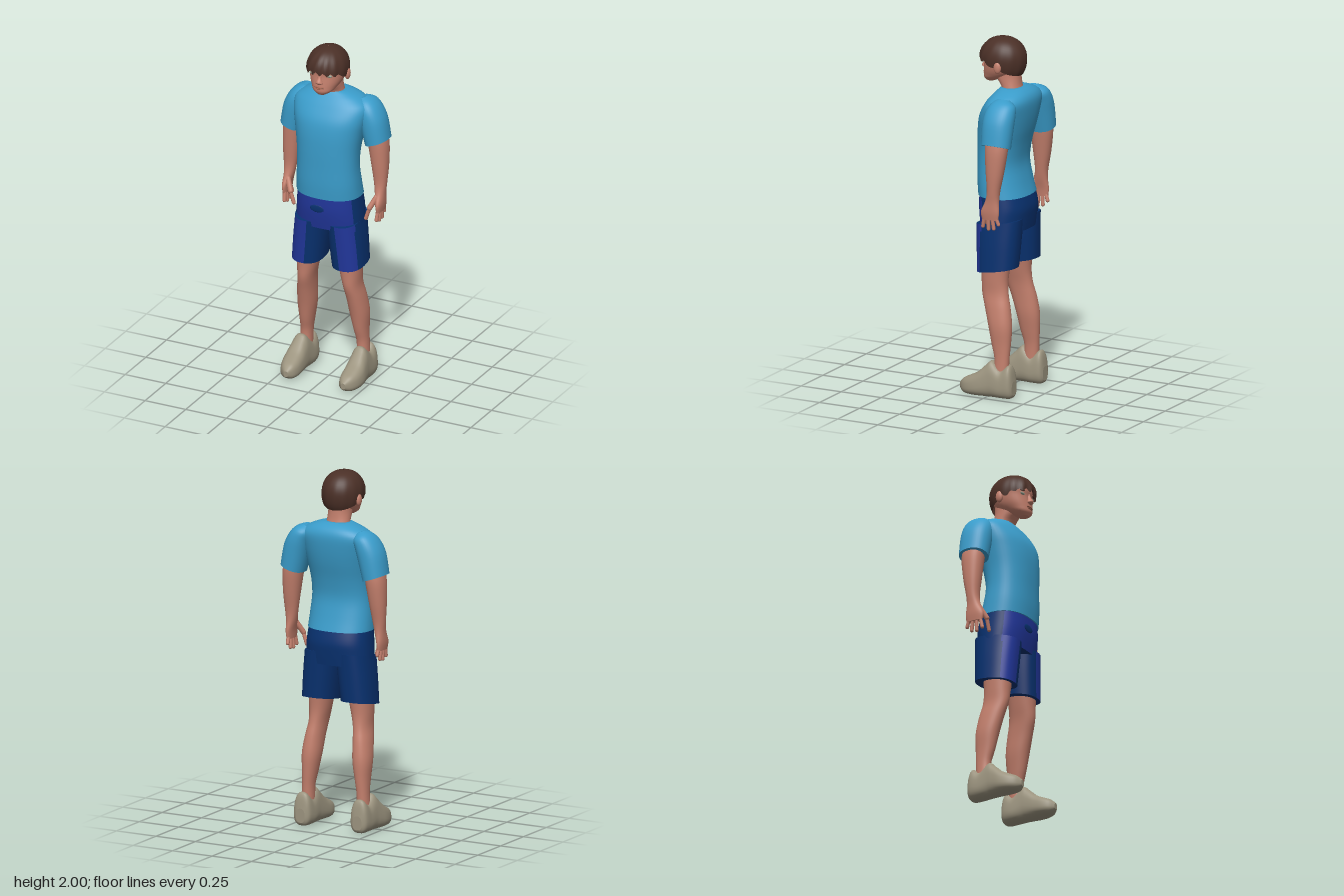
import * as THREE from 'three';

const mat = (name, color, side = THREE.FrontSide) => {
  const m = new THREE.MeshStandardMaterial({ color, side });
  m.name = name;
  return m;
};

// Smooth interpolation through a list of section rows
function smoothRows(rows, steps) {
  const out = [], at = i => rows[Math.max(0, Math.min(rows.length - 1, i))];
  for (let i = 0; i < rows.length - 1; i++) {
    for (let k = 0; k < steps; k++) {
      const t = k / steps;
      out.push(rows[i].map((b, c) => {
        const a = at(i - 1)[c], d = at(i + 1)[c], e = at(i + 2)[c];
        return b + 0.5 * t * (d - a + t * (2 * a - 5 * b + 4 * d - e + t * (3 * (b - d) + e - a)));
      }));
    }
  }
  out.push(rows[rows.length - 1]);
  return out;
}

// Stack of superellipse rings, listed upwards: [y, centreX, halfWidth, zFront, zBack]
// tiltX / tiltZ slope the rings, pick(x, y, z) chooses a material index per face
function loft(rows, { n = 36, steps = 4, power = 2.2, tiltX = 0, tiltZ = 0, pick = null } = {}) {
  const rings = smoothRows(rows, steps), pos = [], faces = [[], []];
  const ring = ([y, cx, rx, zf, zb]) => {
    for (let j = 0; j < n; j++) {
      const a = j / n * Math.PI * 2, s = Math.sin(a), c = Math.cos(a);
      const dx = rx * Math.sign(s) * Math.abs(s) ** (2 / power);
      const dz = (zf - zb) / 2 * Math.sign(c) * Math.abs(c) ** (2 / power);
      pos.push(cx + dx, y + tiltX * dx + tiltZ * dz, (zf + zb) / 2 + dz);
    }
  };
  rings.forEach(ring);
  for (let i = 0; i < rings.length - 1; i++) {
    for (let j = 0; j < n; j++) {
      const a = i * n + j, b = i * n + (j + 1) % n, c = b + n, d = a + n;
      const mid = k => (pos[a * 3 + k] + pos[c * 3 + k]) / 2;
      faces[pick ? pick(mid(0), mid(1), mid(2)) : 0].push(a, b, c, a, c, d);
    }
  }
  // Flat end caps with their own corners
  [[rings[0], false], [rings[rings.length - 1], true]].forEach(([r, top]) => {
    const start = pos.length / 3;
    ring(r);
    pos.push(r[1], r[0], (r[3] + r[4]) / 2);
    for (let j = 0; j < n; j++) {
      const a = start + j, b = start + (j + 1) % n;
      faces[0].push(...(top ? [a, b, start + n] : [b, a, start + n]));
    }
  });
  const g = new THREE.BufferGeometry();
  g.setAttribute('position', new THREE.Float32BufferAttribute(pos, 3));
  g.setIndex([...faces[0], ...faces[1]]);
  if (pick) {
    g.addGroup(0, faces[0].length, 0);
    g.addGroup(faces[0].length, faces[1].length, 1);
  }
  g.computeVertexNormals();
  return g;
}

// Hair cap: a dome whose lower edge drops from the fringe to the nape
function hairGeometry() {
  const n = 72, m = 18, pos = [], idx = [];
  for (let i = 0; i <= m; i++) {
    for (let j = 0; j < n; j++) {
      const a = j / n * Math.PI * 2, c = Math.cos(a), t = i / m;
      const front = Math.max(0, c);
      const sideburn = c > 0 ? 0.13 * Math.exp(-((Math.abs(Math.sin(a)) - 0.98) ** 2) * 900) : 0;
      const edge = 1.78 - 0.22 * front + 0.6 * Math.max(0, -c) ** 0.7 + 0.1 * front * Math.sin(a * 17) + sideburn;
      const p = Math.max(0.01, t * edge);
      const lock = 1 + 0.022 * t * Math.sin(a * 13 + 4 * t) * (0.4 + front);
      const r = Math.sin(p) ** (p > Math.PI / 2 ? 0.5 : 0.88) * lock;
      pos.push(0.116 * r * Math.sin(a), 1.88 + 0.12 * Math.cos(p), 0.008 + 0.134 * r * c);
    }
  }
  for (let i = 0; i < m; i++) {
    for (let j = 0; j < n; j++) {
      const a = i * n + j, b = i * n + (j + 1) % n;
      idx.push(a, a + n, b + n, a, b + n, b);
    }
  }
  const g = new THREE.BufferGeometry();
  g.setAttribute('position', new THREE.Float32BufferAttribute(pos, 3));
  g.setIndex(idx);
  g.computeVertexNormals();
  return g;
}

export function createModel() {
  const skin = mat('skin', 0xc4806d), lip = mat('lips', 0xa3644f), eye = mat('eyes', 0x99a08f);
  const hair = mat('hair', 0x4b3027, THREE.DoubleSide), shirt = mat('shirt', 0x3a9cca);
  const navy = mat('shorts navy', 0x08316f), blue = mat('shorts blue', 0x21369a), shoe = mat('shoes', 0x9c947f);
  const model = new THREE.Group();
  model.name = 'standingPerson';
  const add = (name, geo, material, x = 0, y = 0, z = 0) => {
    const m = new THREE.Mesh(geo, material);
    m.name = name;
    m.position.set(x, y, z);
    model.add(m);
    return m;
  };
  const blob = (name, material, p, r) =>
    add(name, new THREE.SphereGeometry(1, 20, 14), material, ...p).scale.set(...r);
  const finger = (name, from, to, r) => {
    const a = new THREE.Vector3(...from), b = new THREE.Vector3(...to), d = b.clone().sub(a);
    const m = add(name, new THREE.CapsuleGeometry(r, d.length(), 5, 10), skin);
    m.position.copy(a).add(b).multiplyScalar(0.5);
    m.quaternion.setFromUnitVectors(new THREE.Vector3(0, 1, 0), d.normalize());
  };

  // Head and neck
  add('head', loft([[1.745, 0, 0.025, 0.108, 0.06], [1.765, 0, 0.056, 0.12, 0.01], [1.79, 0, 0.075, 0.12, -0.05],
    [1.82, 0, 0.09, 0.117, -0.085], [1.86, 0, 0.1, 0.113, -0.105], [1.9, 0, 0.104, 0.116, -0.11],
    [1.95, 0, 0.088, 0.095, -0.095], [1.98, 0, 0.045, 0.055, -0.055]]), skin);
  add('neck', loft([[1.68, 0, 0.075, 0.0, -0.115], [1.73, 0, 0.067, 0.01, -0.1], [1.78, 0, 0.064, 0.045, -0.095],
    [1.83, 0, 0.064, 0.05, -0.095]]), skin);
  add('nose', loft([[1.811, 0, 0.012, 0.125, 0.09], [1.82, 0, 0.023, 0.136, 0.09], [1.83, 0, 0.018, 0.138, 0.09],
    [1.85, 0, 0.011, 0.125, 0.09], [1.875, 0, 0.009, 0.116, 0.09]], { n: 18 }), skin);
  add('hair', hairGeometry(), hair);
  blob('upperLip', lip, [0, 1.793, 0.117], [0.03, 0.005, 0.008]);
  blob('lowerLip', lip, [0, 1.784, 0.117], [0.025, 0.005, 0.008]);

  // Shirt body
  add('shirtBody', loft([[1.12, 0, 0.188, 0.125, -0.157], [1.2, 0, 0.184, 0.13, -0.135], [1.3, 0, 0.178, 0.13, -0.117],
    [1.4, 0, 0.182, 0.13, -0.13], [1.5, 0, 0.198, 0.125, -0.155], [1.58, 0, 0.215, 0.108, -0.17],
    [1.65, 0, 0.222, 0.068, -0.176], [1.69, 0, 0.18, 0.038, -0.165], [1.715, 0, 0.125, 0.015, -0.14],
    [1.727, 0, 0.083, 0.004, -0.115]], { n: 48, power: 2.3 }), shirt);

  // Shorts: blue front panels, navy sides, back and inner legs
  add('shortsHips', loft([[0.93, 0, 0.197, 0.1, -0.155], [1.0, 0, 0.193, 0.112, -0.163], [1.06, 0, 0.188, 0.118, -0.165],
    [1.14, 0, 0.181, 0.117, -0.145]], { n: 64, power: 2.4, pick: (x, y, z) => z > 0.05 ? 1 : 0 }), [navy, blue]);
  blob('shortsMark', navy, [-0.015, 1.055, 0.117], [0.042, 0.022, 0.004]);

  for (const s of [1, -1]) {
    const side = s > 0 ? 'left' : 'right';
    const mirror = rows => rows.map(([y, cx, ...r]) => [y, cx * s, ...r]);

    // Face details
    blob(side + 'Ear', skin, [0.109 * s, 1.848, -0.012], [0.015, 0.034, 0.022]);
    blob(side + 'Eye', eye, [0.044 * s, 1.864, 0.1], [0.025, 0.009, 0.008]);
    blob(side + 'Brow', hair, [0.046 * s, 1.882, 0.102], [0.03, 0.005, 0.008]);

    // Sleeve, arm and hand
    add(side + 'Sleeve', loft(mirror([[1.443, 0.26, 0.066, 0.0, -0.17], [1.55, 0.236, 0.07, 0.005, -0.173],
      [1.62, 0.21, 0.063, 0.0, -0.172], [1.665, 0.183, 0.05, -0.02, -0.16], [1.69, 0.165, 0.025, -0.05, -0.12]]),
    { tiltX: 0.35 * s }), shirt);
    add(side + 'Arm', loft(mirror([[1.035, 0.287, 0.014, -0.014, -0.113], [1.08, 0.287, 0.02, -0.008, -0.118],
      [1.14, 0.28, 0.028, -0.033, -0.113], [1.2, 0.277, 0.036, -0.043, -0.117], [1.3, 0.272, 0.047, -0.035, -0.136],
      [1.42, 0.262, 0.056, -0.025, -0.152], [1.5, 0.25, 0.055, -0.02, -0.15]])), skin);
    [[-0.028, -0.017, 0.992], [-0.052, -0.052, 0.98], [-0.076, -0.084, 0.985], [-0.1, -0.113, 1.012]].forEach(([z0, z1, y], i) =>
      finger(side + 'Finger' + (i + 1), [0.287 * s, 1.05, z0], [0.283 * s, y, z1], 0.0105));
    finger(side + 'ThumbBase', [0.272 * s, 1.12, -0.04], [0.243 * s, 1.06, -0.012], 0.015);
    finger(side + 'ThumbTip', [0.243 * s, 1.06, -0.012], [0.222 * s, 0.995, -0.01], 0.011);

    // Shorts leg
    add(side + 'ShortsLeg', loft(mirror([[0.712, 0.123, 0.094, 0.093, -0.14], [0.85, 0.11, 0.097, 0.1, -0.148],
      [0.98, 0.098, 0.095, 0.108, -0.156]]),
    { n: 64, steps: 8, power: 2.4, tiltZ: -0.16, pick: (x, y, z) => z > 0.05 && Math.abs(x) > 0.182 - 0.1 * y ? 1 : 0 }), [navy, blue]);

    // Bare leg
    add(side + 'Leg', loft(mirror([[0.13, 0.175, 0.034, -0.03, -0.115], [0.22, 0.172, 0.033, -0.032, -0.118],
      [0.3, 0.166, 0.04, -0.012, -0.123], [0.4, 0.16, 0.051, 0.01, -0.126], [0.5, 0.151, 0.049, 0.037, -0.112],
      [0.58, 0.14, 0.047, 0.06, -0.094], [0.66, 0.132, 0.057, 0.066, -0.088], [0.78, 0.122, 0.072, 0.075, -0.1]])), skin);

    // Shoe: rings run heel to toe, then the sole is flattened and the upper narrowed
    const g = loft(mirror([[-0.155, 0.18, 0.03, -0.02, -0.1], [-0.145, 0.18, 0.05, -0.006, -0.165], [-0.125, 0.18, 0.06, 0, -0.19],
      [-0.08, 0.18, 0.062, 0, -0.16], [-0.025, 0.182, 0.062, 0, -0.205], [0.01, 0.184, 0.064, 0, -0.18],
      [0.06, 0.186, 0.066, 0, -0.135], [0.11, 0.183, 0.06, 0, -0.108], [0.15, 0.179, 0.043, -0.006, -0.088],
      [0.178, 0.176, 0.014, -0.025, -0.06]]), { power: 2.6 });
    g.rotateX(Math.PI / 2);
    const p = g.attributes.position;
    for (let i = 0; i < p.count; i++) {
      const y = Math.max(0, p.getY(i));
      p.setXY(i, 0.18 * s + (p.getX(i) - 0.18 * s) * (1.02 - 1.5 * y), y);
    }
    g.computeVertexNormals();
    add(side + 'Shoe', g, shoe);
  }
  return model;
}
